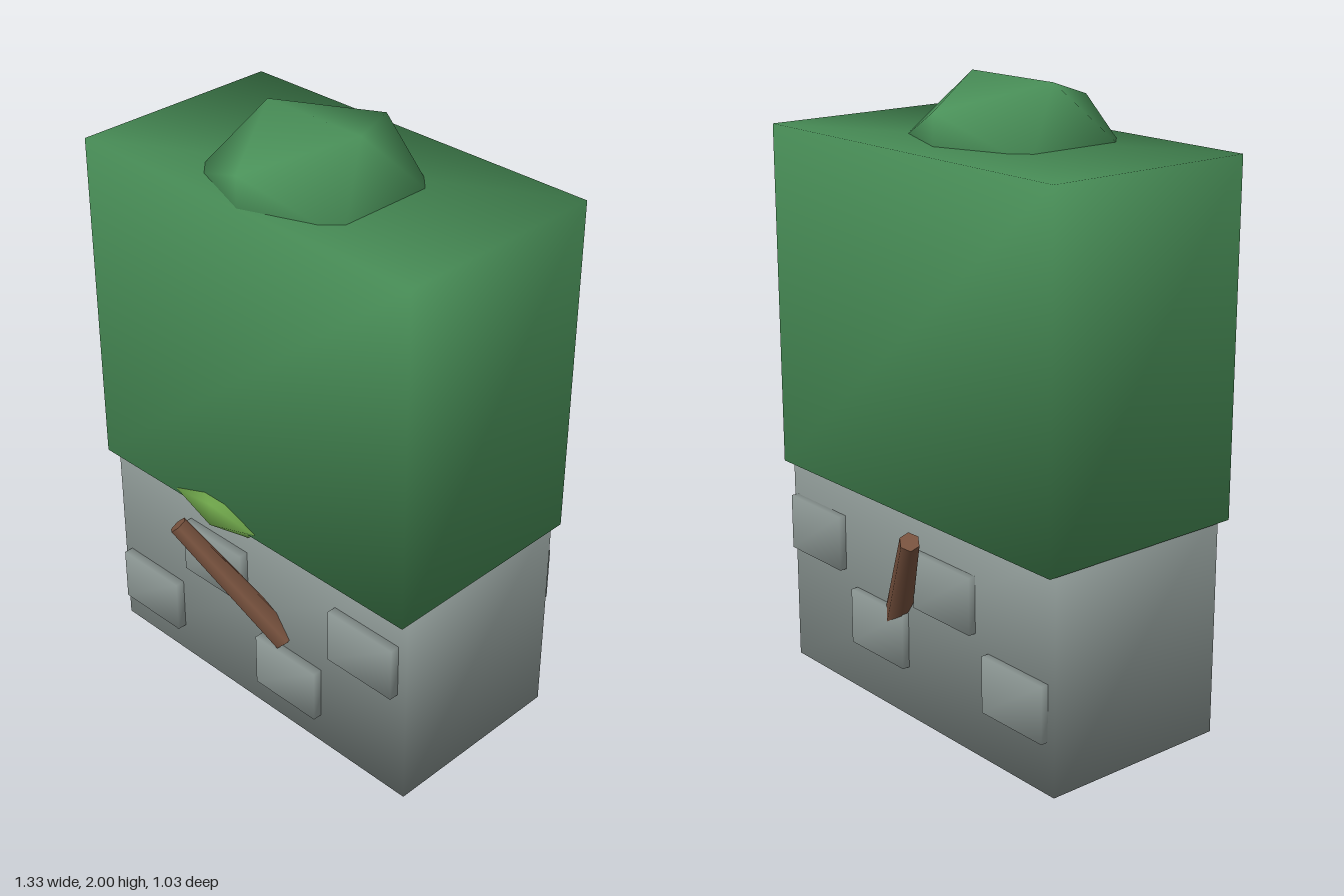
import * as THREE from 'three';
import { mergeVertices } from 'three/addons/utils/BufferGeometryUtils.js';

const material = (name, color) => {
  const m = new THREE.MeshStandardMaterial({ color });
  m.name = name;
  return m;
};

// Weld the corners so that shading runs softly across the edges
function soften(geometry) {
  geometry.deleteAttribute('normal');
  geometry.deleteAttribute('uv');
  const welded = mergeVertices(geometry);
  welded.computeVertexNormals();
  return welded;
}

// Softly shaded block given by its limits on each axis
function block(name, mat, [x0, x1], [y0, y1], [z0, z1]) {
  const geometry = soften(new THREE.BoxGeometry(x1 - x0, y1 - y0, z1 - z0));
  const mesh = new THREE.Mesh(geometry, mat);
  mesh.position.set((x0 + x1) / 2, (y0 + y1) / 2, (z0 + z1) / 2);
  mesh.name = name;
  return mesh;
}

// Squashed icosahedron clump; half sizes along x, y and z
function clump(name, mat, center, half) {
  const geometry = new THREE.IcosahedronGeometry(1, 0);
  const k = 1 / 0.8507; // its vertices reach 0.8507 along each axis
  geometry.scale(half[0] * k, half[1] * k, half[2] * k);
  const mesh = new THREE.Mesh(soften(geometry), mat);
  mesh.position.set(...center);
  mesh.name = name;
  return mesh;
}

// Tapered branch from base to tip
function branch(name, mat, base, tip) {
  const a = new THREE.Vector3(...base), b = new THREE.Vector3(...tip);
  const dir = b.clone().sub(a);
  const mesh = new THREE.Mesh(new THREE.CylinderGeometry(0.032, 0.045, dir.length(), 6), mat);
  mesh.position.copy(a).add(b).multiplyScalar(0.5);
  mesh.quaternion.setFromUnitVectors(new THREE.Vector3(0, 1, 0), dir.normalize());
  mesh.name = name;
  return mesh;
}

export function createModel() {
  const group = new THREE.Group();
  group.name = 'hedgeOnStoneWall';
  const stone = material('stone', 0x8e9996);
  const foliage = material('foliage', 0x4a9159);
  const leaf = material('leaf', 0x6da349);
  const bark = material('bark', 0x79533f);

  // Main masses
  group.add(block('wall', stone, [-0.66, 0.645], [0, 0.75], [-0.33, 0.325]));
  group.add(block('hedge', foliage, [-0.665, 0.66], [0.7, 1.82], [-0.358, 0.368]));
  group.add(clump('topClump', foliage, [0, 1.79, 0.065], [0.303, 0.21, 0.303]));
  group.add(clump('leafTuft', leaf, [-0.14, 0.715, 0.333], [0.18, 0.064, 0.06]));

  // Raised stones: left edge x and bottom y
  const frontStones = [[-0.31, 0.395], [0.345, 0.395], [-0.63, 0.105], [0.02, 0.11]];
  const backStones = [[0.36, 0.4], [-0.3, 0.4], [0.03, 0.17], [-0.63, 0.17]];
  for (const [x, y] of frontStones)
    group.add(block('frontStone', stone, [x, x + 0.265], [y, y + 0.185], [0.29, 0.357]));
  for (const [x, y] of backStones)
    group.add(block('backStone', stone, [x, x + 0.27], [y, y + 0.185], [-0.355, -0.29]));

  // Branches mirrored front to back
  for (const s of [1, -1])
    group.add(branch(s > 0 ? 'frontBranch' : 'backBranch', bark,
      [0.11, 0.315, s * 0.31], [-0.185, 0.7, s * 0.485]));

  return group;
}
